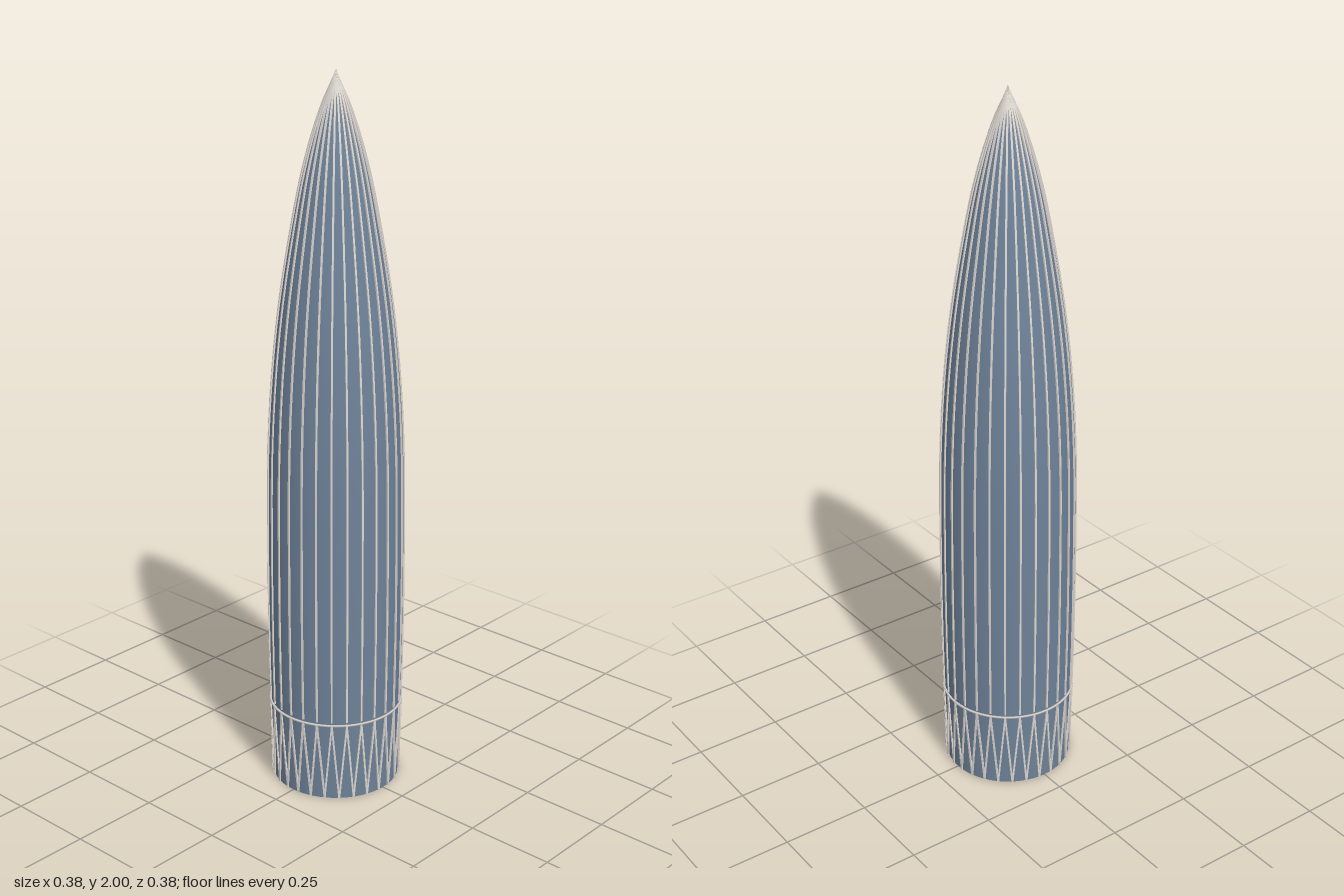
import * as THREE from 'three';

const RIBS = 28;
const STEP = (Math.PI * 2) / RIBS;
const RING_Y = 0.23;
const BAR = 0.005; // width of every metal bar
// Hull profile: radius, height
const PROFILE = [
  [0.178, 0], [0.183, 0.23], [0.186, 0.45], [0.186, 0.7], [0.182, 0.98],
  [0.169, 1.2], [0.147, 1.4], [0.114, 1.6], [0.083, 1.75], [0.045, 1.88], [0, 1.995],
];

export function createModel() {
  const glass = new THREE.MeshStandardMaterial({ color: 0x6e8299, side: THREE.DoubleSide });
  glass.name = 'blue grey glass';
  const metal = new THREE.MeshStandardMaterial({ color: 0xdcd6d0 });
  metal.name = 'pale metal';

  const model = new THREE.Group();
  model.name = 'tower';
  const group = (name) => {
    const g = new THREE.Group();
    g.name = name;
    model.add(g);
    return g;
  };
  const add = (geometry, material, name, parent = model) => {
    const mesh = new THREE.Mesh(geometry, material);
    mesh.name = name;
    parent.add(mesh);
    return mesh;
  };
  // Repeats one bar around the tower
  const addAround = (geometry, name, parent) => {
    for (let i = 0; i < RIBS; i++) add(geometry, metal, name, parent).rotation.y = i * STEP;
  };

  // Pointed glass shell, open at the bottom
  const curve = new THREE.CatmullRomCurve3(PROFILE.map(([r, y]) => new THREE.Vector3(r, y, 0)));
  const points = curve.getPoints(48).map((p) => new THREE.Vector2(Math.max(p.x, 0), p.y));
  add(new THREE.LatheGeometry(points, 112), glass, 'glassShell');

  // Flat-faced ribs following the shell from the ring up to the tip
  const spine = points.filter((p) => p.y > RING_Y - 0.02);
  const outer = spine.map((p) => new THREE.Vector2(p.x + 0.004 * Math.min(1, p.x / 0.03), p.y));
  const inner = spine.map((p) => new THREE.Vector2(Math.max(p.x - 0.0005, 0), p.y - 0.002)).reverse();
  const ribGeometry = new THREE.ExtrudeGeometry(new THREE.Shape([...outer, ...inner]), {
    depth: BAR, bevelEnabled: false,
  }).translate(0, 0, -BAR / 2);
  addAround(ribGeometry, 'rib', group('ribs'));

  // Square-edged ring where the ribs meet the base struts
  const ringProfile = [[0.183, -1], [0.188, -1], [0.188, 1], [0.183, 1], [0.183, -1]]
    .map(([r, s]) => new THREE.Vector2(r, RING_Y + s * BAR / 2));
  add(new THREE.LatheGeometry(ringProfile, 112), metal, 'baseRing');

  // V-shaped struts between the ring and the ground, just outside the glass
  const struts = group('baseStruts');
  const half = STEP / 2;
  for (const side of [-1, 1]) {
    const top = new THREE.Vector3(0.1862, RING_Y, 0);
    const foot = new THREE.Vector3(0.1812 * Math.cos(half), 0.001, side * 0.1812 * Math.sin(half));
    const aim = new THREE.Object3D();
    aim.up.set(1, 0, 0);
    aim.position.lerpVectors(top, foot, 0.5);
    aim.lookAt(foot);
    aim.updateMatrix();
    const bar = new THREE.BoxGeometry(BAR, 0.004, top.distanceTo(foot)).applyMatrix4(aim.matrix);
    addAround(bar, 'baseStrut', struts);
  }

  return model;
}
